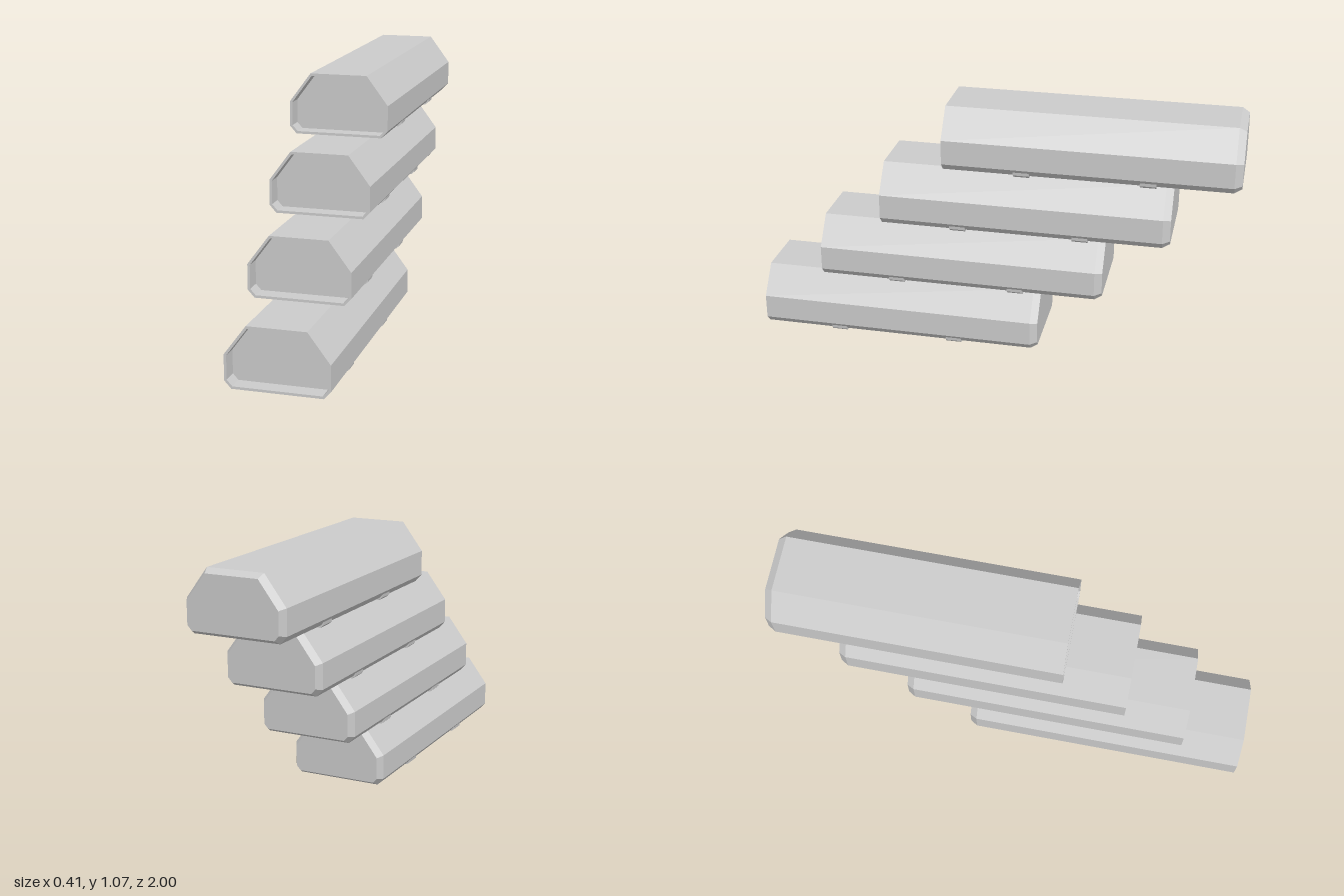
import * as THREE from 'three';

const material = new THREE.MeshStandardMaterial({ color: 0xcccccc, flatShading: true });

// Eight-sided housing outline, counter-clockwise, offset inwards by d
function outline(d) {
  const right = [
    [0.178 - 0.445 * d, 0.02 + d],
    [0.205 - d, 0.05 + 0.38 * d],
    [0.205 - d, 0.152 - 0.33 * d],
    [0.117 - 0.5 * d, 0.27 - d],
  ];
  return [...right, ...right.map(([x, y]) => [-x, y]).reverse()];
}

// Closed skin from the recessed front panel, over the rim, to the bevelled back
function housingGeometry() {
  const sections = [
    [0.01, -0.065], // recessed panel
    [0.01, 0],      // inner rim
    [0, 0],         // outer rim
    [0, -1.17],     // start of back bevel
    [0.017, -1.2],  // back face
  ];
  const loops = sections.map(([d, z]) => outline(d).map(([x, y]) => [x, y, z]));
  const pos = [];
  const tri = (a, b, c) => pos.push(...a, ...b, ...c);
  for (let k = 0; k < loops.length - 1; k++) {
    const a = loops[k], b = loops[k + 1];
    for (let i = 0; i < 8; i++) {
      const j = (i + 1) % 8;
      tri(a[i], b[i], b[j]);
      tri(a[i], b[j], a[j]);
    }
  }
  const front = loops[0], back = loops[loops.length - 1];
  for (let i = 1; i < 7; i++) {
    tri(front[0], front[i], front[i + 1]);
    tri(back[0], back[i + 1], back[i]);
  }
  const geo = new THREE.BufferGeometry();
  geo.setAttribute('position', new THREE.Float32BufferAttribute(pos, 3));
  geo.computeVertexNormals();
  return geo;
}

// Extrusion along z, centred on z = 0
function slab(points, width) {
  const shape = new THREE.Shape(points.map(([x, y]) => new THREE.Vector2(x, y)));
  const geo = new THREE.ExtrudeGeometry(shape, { depth: width, bevelEnabled: false });
  return geo.translate(0, 0, -width / 2);
}

function addMesh(parent, name, geometry) {
  const mesh = new THREE.Mesh(geometry, material);
  mesh.name = name;
  parent.add(mesh);
}

export function createModel() {
  const model = new THREE.Group();
  model.name = 'staggeredHousingStack';

  const housing = housingGeometry();
  const plate = slab([[-0.118, 0], [0.118, 0], [0.137, 0.011], [0.137, 0.023], [-0.137, 0.023], [-0.137, 0.011]], 0.12);
  // Clip wrapping the lower corner of the housing
  const clip = [[0.12, 0.011], [0.177, 0.011], [0.19, 0.022], [0.192, 0.037], [0.18, 0.032], [0.17, 0.024], [0.12, 0.024]];
  const leftClip = slab(clip, 0.065);
  const rightClip = slab(clip.map(([x, y]) => [-x, y]).reverse(), 0.065);

  // Four housings, each one step higher and further back
  for (let i = 0; i < 4; i++) {
    const tier = new THREE.Group();
    tier.name = 'tier' + (i + 1);
    tier.position.set(0, i * 0.265, 1 - i * 0.2667);
    addMesh(tier, 'housing', housing);

    // Two mounting brackets beneath each housing
    for (const z of [-0.325, -0.835]) {
      const bracket = new THREE.Group();
      bracket.name = 'mountingBracket';
      bracket.position.z = z;
      addMesh(bracket, 'bracketPlate', plate);
      addMesh(bracket, 'leftClip', leftClip);
      addMesh(bracket, 'rightClip', rightClip);
      tier.add(bracket);
    }
    model.add(tier);
  }
  return model;
}
